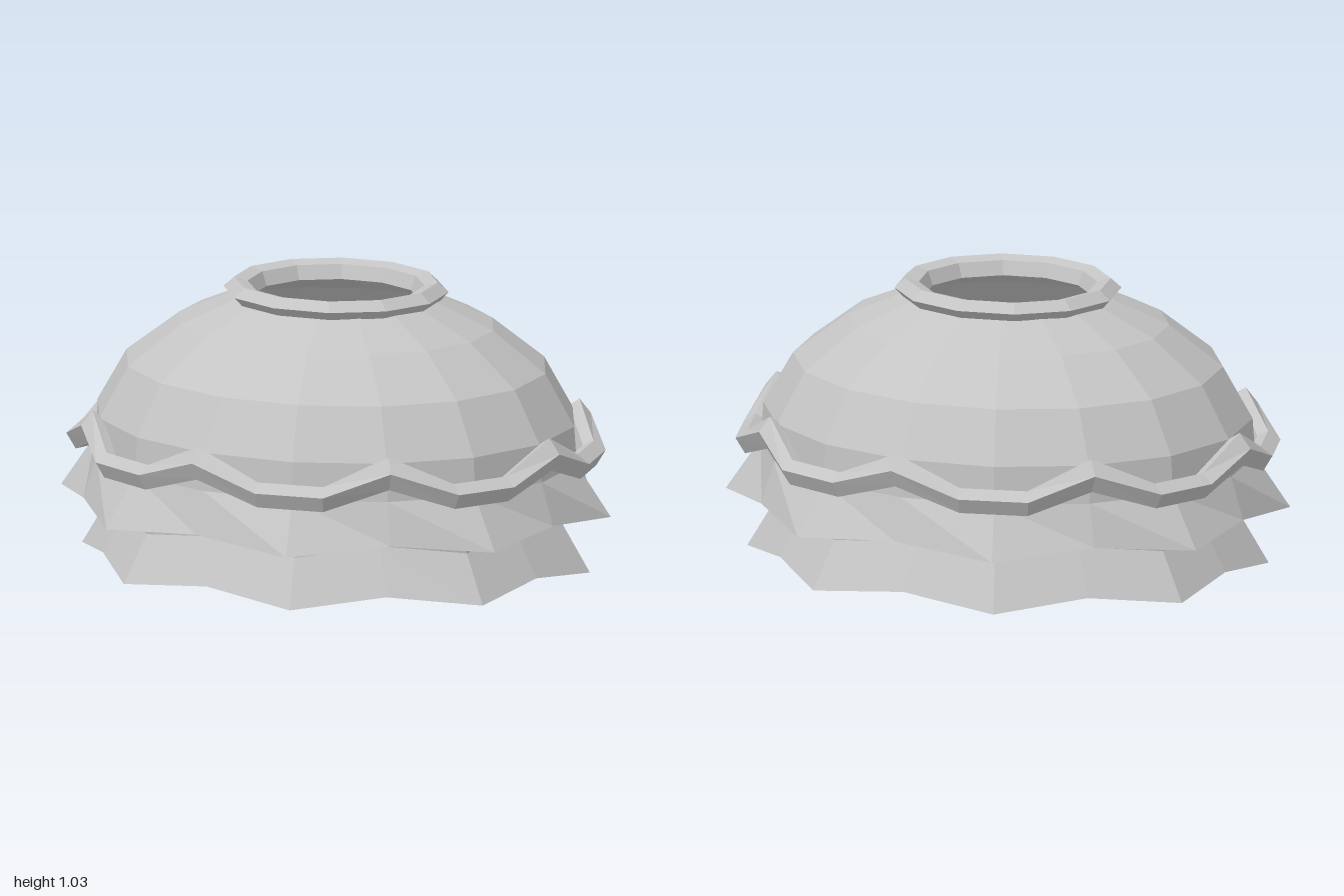
import * as THREE from 'three';

const DEPTH = 0.9; // the plan is an oval, slightly shallower in z

// Faceted skin through stacked rings; each ring is a function k -> [radius, y].
// Rings run from the top down on an outward-facing skin.
function loft(name, sides, rings, material, depth = DEPTH, closed = false) {
  const point = (ring, k) => {
    const i = k % sides;
    const [r, y] = ring(i);
    const a = (i / sides) * Math.PI * 2;
    return [r * Math.sin(a), y, depth * r * Math.cos(a)];
  };
  const pos = [];
  const spans = closed ? rings.length : rings.length - 1;
  for (let j = 0; j < spans; j++) {
    const upper = rings[j];
    const lower = rings[(j + 1) % rings.length];
    for (let k = 0; k < sides; k++) {
      const a = point(upper, k), b = point(lower, k);
      const c = point(lower, k + 1), d = point(upper, k + 1);
      pos.push(...a, ...b, ...c, ...a, ...c, ...d);
    }
  }
  const geometry = new THREE.BufferGeometry();
  geometry.setAttribute('position', new THREE.Float32BufferAttribute(pos, 3));
  geometry.computeVertexNormals();
  const mesh = new THREE.Mesh(geometry, material);
  mesh.name = name;
  return mesh;
}

const flat = (r, y) => () => [r, y];

// Eight-cornered ring of 16 points: corners on the odd points, and between
// them the middle of each straight side, at its own height
const octagon = (r, cornerY, middleY) => (k) =>
  (k % 2 ? [r, cornerY] : [r * Math.cos(Math.PI / 8), middleY]);

// Ring of 24 points with eight peaks and two low corners between each pair
const TRIM_SCALE = [1, 1, 1.015, 0.98, 1.015, 1];
const wave = (r, peakY, lowY) => (k) =>
  [r * TRIM_SCALE[k % 6], k % 3 === 0 ? peakY : lowY];

export function createModel() {
  const grey = new THREE.MeshStandardMaterial({ color: 0xc4c4c4 });
  grey.name = 'plainGrey';
  grey.side = THREE.DoubleSide;
  grey.flatShading = true;

  const model = new THREE.Group();
  model.name = 'ruffledShade';

  // Dome shell, tucking in behind the ruffles
  model.add(loft('dome', 16, [
    flat(0.36, 0.98), flat(0.4, 0.965), flat(0.6, 0.88),
    flat(0.8, 0.73), flat(0.91, 0.54), flat(0.92, 0.4), flat(0.855, 0.235),
  ], grey));

  // Upper ruffle flaring out below the trim
  model.add(loft('upperRuffle', 16, [
    flat(0.92, 0.4), octagon(1.05, 0.212, 0.245),
  ], grey));

  // Lower ruffle: an eight-sided wall inside the upper one, then a flared hem
  model.add(loft('lowerRuffle', 16, [
    octagon(0.9, 0.53, 0.54),
    octagon(0.865, 0.175, 0.21),
    octagon(0.97, 0, 0.04),
  ], grey));

  // Wavy trim
  model.add(loft('wavyTrim', 24, [
    wave(0.955, 0.57, 0.465), wave(1.0, 0.515, 0.432), wave(0.965, 0.45, 0.374),
    wave(0.9, 0.47, 0.392), wave(0.915, 0.545, 0.447),
  ], grey, DEPTH, true));

  // Collar around the top opening
  model.add(loft('collar', 12, [
    flat(0.38, 1.035), flat(0.42, 1.0), flat(0.39, 0.968),
    flat(0.31, 0.97), flat(0.33, 1.022),
  ], grey, 0.93, true));

  // Eight-sided flared sleeve inside the dome
  model.add(loft('innerSleeve', 8, [
    flat(0.285, 0.64), flat(0.35, 0.37),
  ], grey));

  return model;
}
